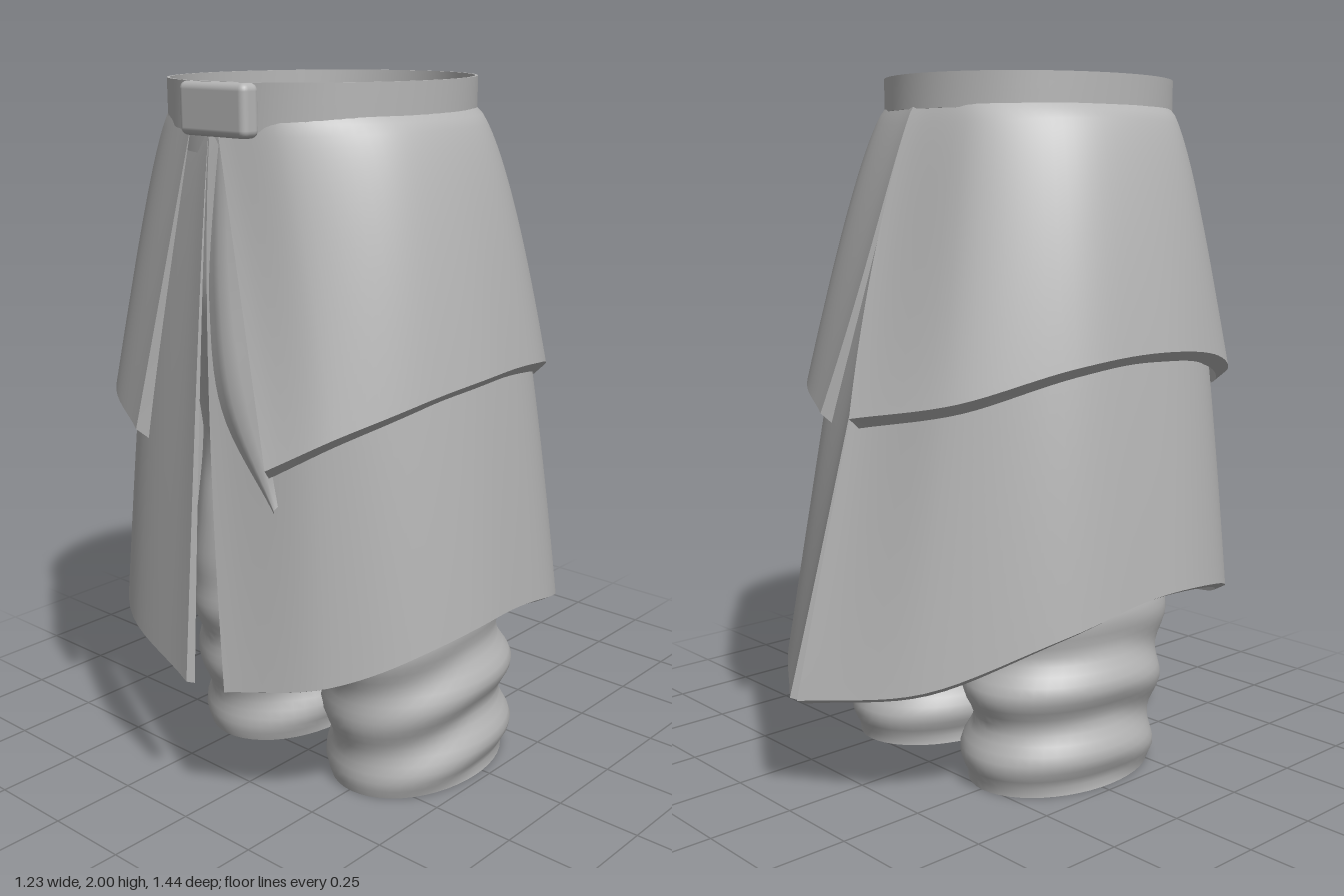
import * as THREE from 'three';
import { mergeGeometries } from 'three/addons/utils/BufferGeometryUtils.js';
import { RoundedBoxGeometry } from 'three/addons/geometries/RoundedBoxGeometry.js';

const cloth = new THREE.MeshStandardMaterial({ color: 0xb4b4b4, side: THREE.DoubleSide });
cloth.name = 'greyCloth';
const AXIS_Z = 0.155; // centre of the waist in z
const { lerp, smoothstep } = THREE.MathUtils;
const V = (x, y, z) => new THREE.Vector3(x, y, z);
const curve = (pts) => new THREE.CatmullRomCurve3(pts.map((p) => V(...p)), false, 'centripetal');

// Smooth sheet from a function of u and v (0..1); wrap joins the u ends, skip drops quads
function sheet(fn, nu, nv, { wrap = false, flip = false, skip = null } = {}) {
  const pos = [], idx = [], pts = [], w = wrap ? nu : nu + 1;
  for (let j = 0; j <= nv; j++)
    for (let i = 0; i < w; i++) {
      const p = fn(i / nu, j / nv);
      pts.push(p);
      pos.push(p.x, p.y, p.z);
    }
  for (let j = 0; j < nv; j++)
    for (let i = 0; i < nu; i++) {
      const a = j * w + i, b = j * w + (i + 1) % w, c = a + w, d = b + w;
      if (skip && [a, b, c, d].every((k) => skip(pts[k]))) continue;
      if (flip) idx.push(a, b, c, b, d, c);
      else idx.push(a, c, b, b, c, d);
    }
  const g = new THREE.BufferGeometry();
  g.setAttribute('position', new THREE.Float32BufferAttribute(pos, 3));
  g.setIndex(idx);
  g.computeVertexNormals();
  return g;
}

function add(group, name, geometry) {
  const m = new THREE.Mesh(geometry, cloth);
  m.name = name;
  group.add(m);
  return m;
}

// Thick skirt panel flaring from the waist rail to the hem rail, front edge to back edge.
// flare: powers of the flare at front, side and back; edges: powers of the front and back slits
function panel({ side, waist, hem, flare, edges, thick, drop, ripple }) {
  const top = curve(waist), low = curve(hem);
  const outer = (u, v) => {
    const a = top.getPoint(u), b = low.getPoint(u);
    const power = lerp(lerp(flare[0], flare[1], smoothstep(u, 0, 0.38)), flare[2], smoothstep(u, 0.58, 1));
    const slit = lerp(lerp(edges[0], power, smoothstep(u, 0, 0.16)), edges[1], smoothstep(u, 0.84, 1));
    const fold = 1 + ripple * v * Math.sin(u * 31) * Math.sin(Math.PI * u);
    return V(side * lerp(a.x, b.x, v ** slit) * fold, lerp(a.y, b.y, v), lerp(a.z, b.z, v ** power));
  };
  const inner = (u, v) => {
    const p = outer(u, v), dx = p.x, dz = p.z - AXIS_Z;
    const k = thick * v / Math.hypot(dx, dz);
    return V(p.x - dx * k, p.y - drop * v ** 6, p.z - dz * k);
  };
  const mix = (u, v, s) => outer(u, v).lerp(inner(u, v), s);
  const flip = side < 0;
  return mergeGeometries([
    sheet(outer, 48, 28, { flip: !flip }),
    sheet(inner, 48, 28, { flip }),
    sheet((u, s) => mix(u, 1, s), 48, 1, { flip: !flip }),
    sheet((v, s) => mix(0, v, s), 28, 1, { flip: !flip }),
    sheet((v, s) => mix(1, v, s), 28, 1, { flip }),
  ]);
}

// Waist rail: half ellipse from the front edge (x = x0) round to the back
function waistRail(x0, rx, rz, y) {
  const pts = [];
  for (let i = 0; i <= 6; i++) {
    const a = Math.PI * i / 6;
    pts.push([i === 0 ? x0 : i === 6 ? 0.001 : rx * Math.sin(a), y, AXIS_Z + rz * Math.cos(a)]);
  }
  return pts;
}

// One trouser leg, wrinkled below and widening into half of the seat above
function leg(side) {
  // centre x, y, half width; and centre z, y, half depth
  const width = curve([[0.258, 0, 0.222], [0.262, 0.1, 0.226], [0.265, 0.35, 0.205], [0.24, 0.6, 0.18], [0.235, 1, 0.165]]);
  const depth = curve([[0.035, 0, 0.305], [0.05, 0.1, 0.32], [0.09, 0.3, 0.325], [0.085, 0.6, 0.33], [0.08, 1, 0.3]]);
  const at = (u, v) => {
    const a = u * Math.PI * 2, y = v * 1.9, front = Math.sin(a);
    const w = width.getPoint(Math.min(1, y)), d = depth.getPoint(Math.min(1, y));
    const fade = (1 - smoothstep(y, 0.3, 0.65)) * Math.min(1, y / 0.06 + 0.3);
    // folds hang lower at the front, like stacked chevrons
    const phase = (y - 0.05) / 0.205 * Math.PI * 2 + 0.9 * front + 1.5 * Math.abs(front) ** 1.5;
    const r = 1 + (0.045 + 0.045 * Math.cos(a) ** 2 - 0.015 * front) * fade * Math.sin(phase);
    const s = smoothstep(y, 0.85, 1.5);
    const cx = w.x + r * w.z * Math.cos(a), cz = d.x + r * d.z * front;
    const hipX = 0.384 * Math.cos(a), hipZ = AXIS_Z + 0.43 * front;
    return V(side * Math.max(0, lerp(cx, hipX, s)), y, lerp(cz, hipZ, s));
  };
  return sheet(at, 48, 76, { wrap: true, flip: side > 0, skip: (p) => Math.abs(p.x) < 1e-4 });
}

export function createModel() {
  const model = new THREE.Group();
  model.name = 'layeredSkirtAndTrousers';

  // Front corners and back corners differ a little between the two sides
  const sides = [
    { side: 1, name: 'left', upEdge: 0.03, upFront: [0.28, 1.06, 0.69], upBack: 0.07, lowEdge: 0.002, lowFront: [0.13, 0.41, 0.71], lowBack: 0.03 },
    { side: -1, name: 'right', upEdge: 0.05, upFront: [0.2, 1.08, 0.7], upBack: 0.06, lowEdge: 0.001, lowFront: [0.01, 0.4, 0.72], lowBack: 0.004 },
  ];
  for (const s of sides) {
    // Short outer layer
    add(model, s.name + 'UpperSkirt', panel({
      side: s.side, thick: 0.035, drop: 0.03, ripple: 0.004,
      waist: waistRail(s.upEdge, 0.388, 0.437, 1.925),
      hem: [s.upFront, [0.42, 1.145, 0.585], [0.545, 1.222, 0.37], [0.576, 1.25, 0.1],
        [0.522, 1.225, -0.17], [0.335, 1.135, -0.425], [s.upBack, 1.08, -0.57]],
      flare: [1, 0.58, 0.85], edges: [1, 2.4],
    }));
    // Long under layer
    add(model, s.name + 'LowerSkirt', panel({
      side: s.side, thick: 0.03, drop: 0.015, ripple: 0.005,
      waist: waistRail(s.lowEdge, 0.38, 0.425, 1.91),
      hem: [s.lowFront, [0.4, 0.465, 0.59], [0.575, 0.55, 0.38], [0.61, 0.578, 0.1],
        [0.55, 0.512, -0.23], [0.31, 0.365, -0.525], [s.lowBack, 0.31, -0.72]],
      flare: [0.8, 0.52, 0.9], edges: [1.6, 3],
    }));
    add(model, s.name + 'TrouserLeg', leg(s.side));
  }

  // Folded drape hanging beside the front opening
  const rails = [
    curve([[0.005, 1.87, 0.575], [0.03, 1.45, 0.63], [0.1, 1.18, 0.662], [0.28, 0.94, 0.66]]),
    curve([[0.035, 1.87, 0.58], [0.085, 1.48, 0.645], [0.16, 1.21, 0.68], [0.285, 0.95, 0.665]]),
    curve([[0.07, 1.87, 0.575], [0.14, 1.5, 0.625], [0.22, 1.25, 0.65], [0.29, 0.96, 0.655]]),
  ];
  add(model, 'frontDrape', sheet((u, v) => {
    const p = rails.map((r) => r.getPoint(v));
    return u < 0.5 ? p[0].lerp(p[1], u * 2) : p[1].lerp(p[2], u * 2 - 1);
  }, 4, 24));

  // Belt: outer wall, inner wall and rims, dipping slightly at the front
  const beltAt = (out, top) => (u) => {
    const a = u * Math.PI * 2, r = out ? 0 : -0.008;
    const y = top ? 2 : 1.905 - 0.03 * Math.max(0, Math.sin(a)) ** 2;
    return V((0.398 + r) * Math.cos(a), y, AXIS_Z + (0.445 + r) * Math.sin(a));
  };
  const strip = (f, g) => sheet((u, v) => f(u).lerp(g(u), v), 64, 2, { wrap: true });
  const [ob, ot, ib, it] = [beltAt(1, 0), beltAt(1, 1), beltAt(0, 0), beltAt(0, 1)];
  add(model, 'belt', mergeGeometries([strip(ob, ot), strip(ot, it), strip(it, ib), strip(ib, ob)]));

  // Belt buckle
  const buckle = add(model, 'buckle', new RoundedBoxGeometry(0.24, 0.135, 0.06, 3, 0.02));
  buckle.position.set(0.037, 1.932, 0.586);

  return model;
}
